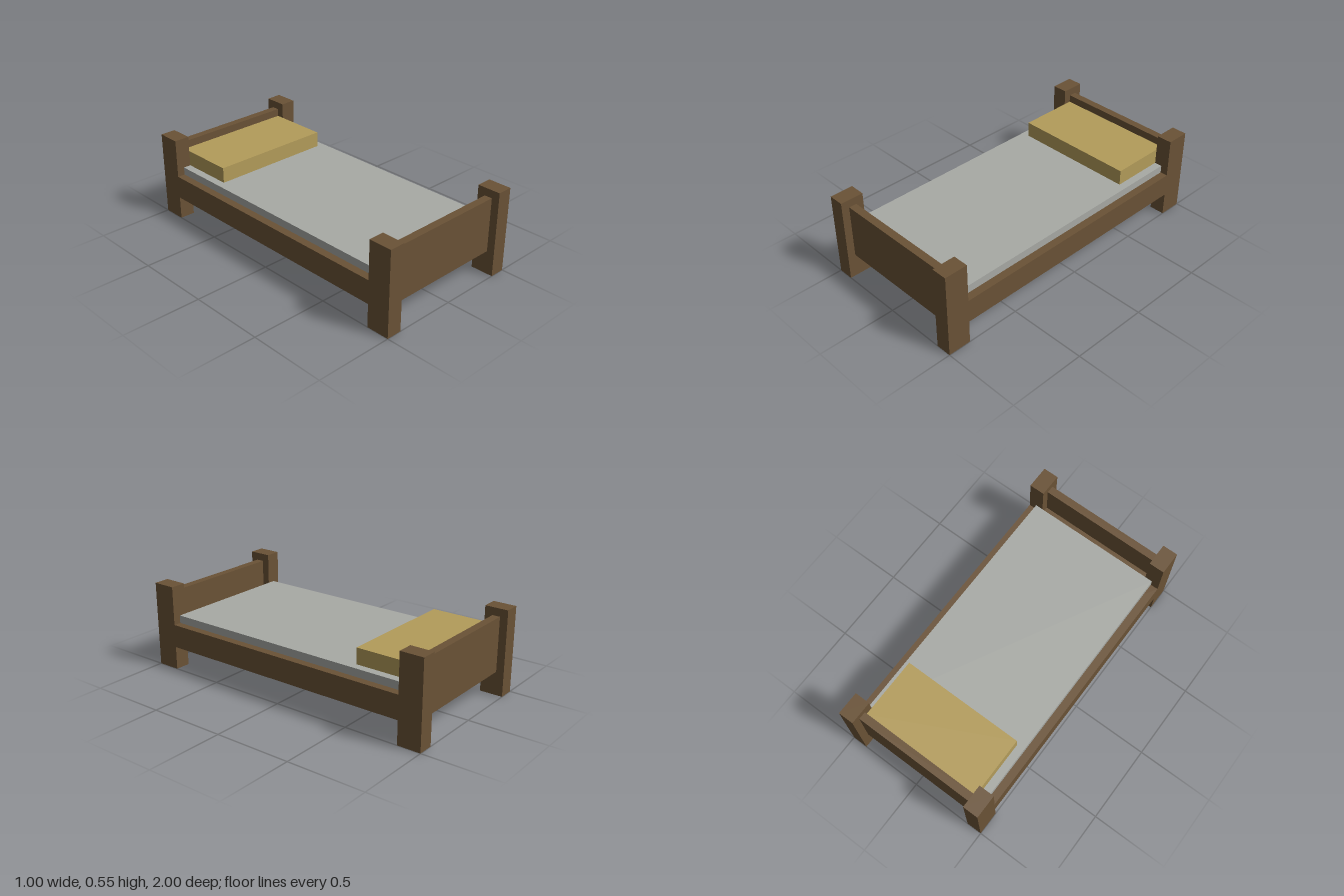
import * as THREE from 'three';

export function createModel() {
  const group = new THREE.Group();
  const material = (name, color) => {
    const m = new THREE.MeshStandardMaterial({ color });
    m.name = name;
    return m;
  };
  const wood = material('brown wood', 0x6a5236);
  const sheet = material('grey sheet', 0xa8aaa5);
  const cushion = material('tan cushion', 0xb39c5a);

  // Box given by its lower and upper corners
  const box = (name, mat, [x0, y0, z0], [x1, y1, z1]) => {
    const mesh = new THREE.Mesh(new THREE.BoxGeometry(x1 - x0, y1 - y0, z1 - z0), mat);
    mesh.position.set((x0 + x1) / 2, (y0 + y1) / 2, (z0 + z1) / 2);
    mesh.name = name;
    group.add(mesh);
  };

  // Corner posts
  for (const [side, x] of [['left', 0.4], ['right', -0.5]]) {
    for (const [end, z] of [['Front', 0.85], ['Back', -1]]) {
      box(side + end + 'Post', wood, [x, 0, z], [x + 0.1, 0.55, z + 0.15]);
    }
  }

  // Base slab between the posts, with end boards closing it
  box('bedBase', wood, [-0.5, 0.15, -0.85], [0.5, 0.3, 0.85]);
  for (const [end, z] of [['front', 0.85], ['back', -0.9]]) {
    box(end + 'BaseEnd', wood, [-0.4, 0.15, z], [0.4, 0.3, z + 0.05]);
  }
  box('footboard', wood, [-0.4, 0.15, 0.9], [0.4, 0.5, 0.95]);
  box('headboard', wood, [-0.4, 0.15, -0.95], [0.4, 0.5, -0.9]);

  // Bedding
  box('mattress', sheet, [-0.45, 0.3, -0.85], [0.45, 0.35, 0.85]);
  box('pillow', cushion, [-0.4, 0.35, -0.9], [0.4, 0.45, -0.5]);

  return group;
}
